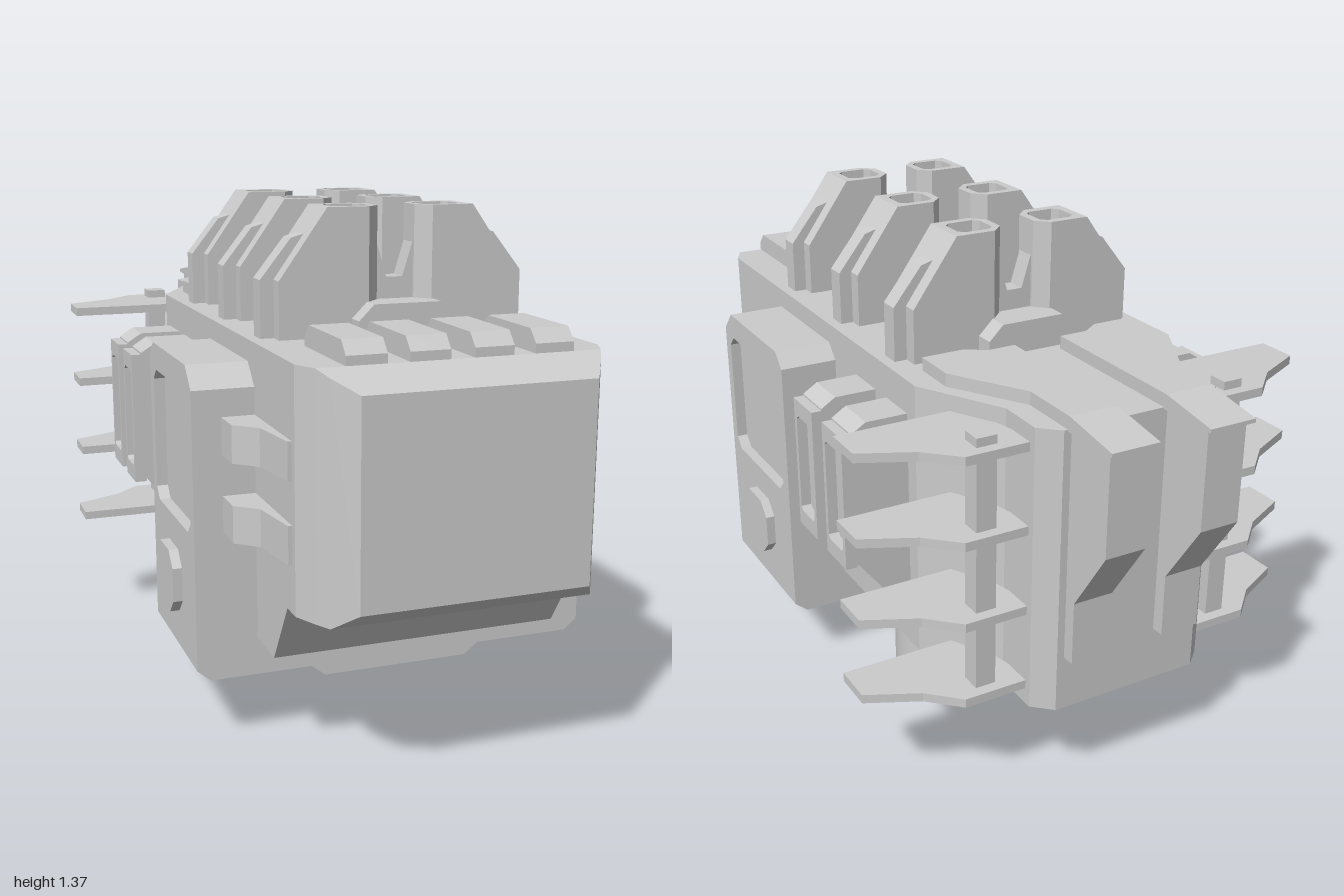
import * as THREE from 'three';

const flat = new THREE.MeshStandardMaterial({ color: 0xcccccc, flatShading: true });
const smooth = new THREE.MeshStandardMaterial({ color: 0xcccccc });

function toShape(pts, hole) {
  const s = new THREE.Shape(pts.map(p => new THREE.Vector2(...p)));
  if (hole) s.holes.push(new THREE.Path(hole.map(p => new THREE.Vector2(...p))));
  return s;
}
const prism = (pts, depth, hole) =>
  new THREE.ExtrudeGeometry(toShape(pts, hole), { depth, bevelEnabled: false });
// outlines in (x,y), (z,y) and (x,z), swept along the remaining axis
const alongZ = (pts, a, b, hole) => prism(pts, b - a, hole).translate(0, 0, a);
const alongX = (pts, a, b, hole) => prism(pts, b - a, hole).rotateY(-Math.PI / 2).translate(b, 0, 0);
const alongY = (pts, a, b, hole) => prism(pts, b - a, hole).rotateX(Math.PI / 2).translate(0, b, 0);
const box = (x0, x1, y0, y1, z0, z1) =>
  new THREE.BoxGeometry(x1 - x0, y1 - y0, z1 - z0).translate((x0 + x1) / 2, (y0 + y1) / 2, (z0 + z1) / 2);
// rectangle with cut corners
const cutRect = (a0, a1, b0, b1, c) => [[a0 + c, b0], [a1 - c, b0], [a1, b0 + c], [a1, b1 - c],
  [a1 - c, b1], [a0 + c, b1], [a0, b1 - c], [a0, b0 + c]];
const symmetric = pts => [...pts, ...pts.map(([x, y]) => [-x, y]).reverse()];

// mirror across x = 0, keeping faces outward
function mirrored(geo) {
  const g = geo.index ? geo.toNonIndexed() : geo.clone();
  g.scale(-1, 1, 1);
  for (const attr of Object.values(g.attributes)) {
    const n = attr.itemSize, a = attr.array;
    for (let i = 0; i < a.length; i += 3 * n) {
      for (let k = 0; k < n; k++) [a[i + n + k], a[i + 2 * n + k]] = [a[i + 2 * n + k], a[i + n + k]];
    }
  }
  return g;
}

// rectangular sections [z, half width, bottom, top], front to back
function loft(sections) {
  const pos = [], idx = [];
  for (const [z, w, b, t] of sections) pos.push(-w, b, z, w, b, z, w, t, z, -w, t, z);
  for (let s = 0; s < sections.length - 1; s++) {
    for (let i = 0; i < 4; i++) {
      const a = s * 4 + i, b = s * 4 + (i + 1) % 4;
      idx.push(a, a + 4, b, b, a + 4, b + 4);
    }
  }
  const e = pos.length / 3 - 4;
  idx.push(0, 1, 2, 0, 2, 3, e, e + 2, e + 1, e, e + 3, e + 2);
  const g = new THREE.BufferGeometry();
  g.setAttribute('position', new THREE.Float32BufferAttribute(pos, 3));
  g.setIndex(idx);
  const out = g.toNonIndexed();
  out.computeVertexNormals();
  return out;
}

export function createModel() {
  const model = new THREE.Group();
  model.name = 'model';
  const add = (name, geo, mat = flat) => {
    const m = new THREE.Mesh(geo, mat);
    m.name = name;
    model.add(m);
  };
  const pair = (name, geo, mat) => {
    add(name + 'Left', geo, mat);
    add(name + 'Right', mirrored(geo), mat);
  };

  // main hull with chamfered nose and tapered tail
  add('hull', loft([
    [1.0, 0.29, 0.5, 1.0], [0.93, 0.335, 0.45, 1.028], [0.89, 0.357, 0.45, 1.045], [0.83, 0.385, 0.45, 1.045],
    [0.77, 0.385, 0.45, 1.045], [0.66, 0.385, 0.28, 1.045], [-0.42, 0.385, 0.28, 1.045],
    [-0.65, 0.26, 0.28, 1.045], [-0.78, 0.26, 0.28, 1.045], [-0.825, 0.21, 0.28, 1.045],
  ]));

  // saddle wrapping under the hull, with side slabs
  add('saddleBase', alongZ(symmetric([[0.2, 0.15], [0.24, 0.18], [0.51, 0.18], [0.545, 0.21], [0.545, 0.3]]).reverse(), 0.07, 0.52));
  const slab = [[0.07, 0.29], [0.52, 0.29], [0.52, 0.935], [0.465, 0.99], [0.11, 0.99], [0.07, 0.95]];
  pair('sideSlab', alongX(slab, 0.37, 0.515));
  pair('sideSlabFrame', alongX(slab, 0.515, 0.545, cutRect(0.11, 0.485, 0.56, 0.92, 0.03)));
  pair('sideButton', alongX(cutRect(0.205, 0.38, 0.31, 0.48, 0.04), 0.54, 0.57));

  // small stepped vanes ahead of the slabs
  for (const y of [0.57, 0.77]) {
    pair('frontVane', alongY([[0.37, 0.5], [0.47, 0.5], [0.47, 0.61], [0.415, 0.66], [0.395, 0.81], [0.37, 0.81]], y, y + 0.095));
  }

  // upright ribs with a sunken window
  const rib = [[0.37, 0.36], [0.385, 0.37], [0.54, 0.57], [0.54, 0.93], [0.5, 0.955], [0.37, 0.955]];
  for (const z of [-0.13, -0.315]) {
    pair('sideRib', alongZ(rib, z - 0.06, z + 0.06));
    pair('sideRibFrame', alongX([[z - 0.06, 0.555], [z + 0.06, 0.555], [z + 0.06, 0.925], [z - 0.06, 0.925]],
      0.535, 0.568, cutRect(z - 0.045, z + 0.045, 0.6, 0.88, 0.01)));
  }

  // horizontal tail blades and the post that carries them
  const blade = [[0.3, -0.51], [0.645, -0.51], [0.645, -0.62], [0.51, -0.685], [0.43, -0.76], [0.24, -0.76]];
  for (const y of [0.335, 0.55, 0.77, 0.99]) pair('tailBlade', alongY(blade, y - 0.012, y + 0.012));
  pair('bladePost', box(0.33, 0.385, 0.3, 1.025, -0.73, -0.675));

  // raised spine along the roof
  add('spine', alongZ(symmetric([[0.13, 1.03], [0.13, 1.09], [0.09, 1.13]]), -0.345, 0.57));

  // three rows of twin towers
  for (const z of [0.45, 0.115, -0.22]) {
    const inner = [[0.05, z - 0.035], [0.085, z - 0.07], [0.195, z - 0.07], [0.195, z + 0.07], [0.085, z + 0.07], [0.05, z + 0.035]];
    pair('towerBase', alongY(inner, 1.03, 1.325));
    pair('towerRim', alongY(inner, 1.325, 1.365, cutRect(0.072, 0.172, z - 0.047, z + 0.047, 0.015)));
    for (const d of [-0.025, 0, 0.025]) pair('towerSlat', box(0.074, 0.17, 1.32, 1.34, z + d - 0.006, z + d + 0.006));
    pair('towerSlope', alongZ([[0.19, 1.03], [0.32, 1.03], [0.32, 1.19], [0.195, 1.365], [0.19, 1.365]], z - 0.07, z + 0.07));
    pair('towerRidge', alongZ([[0.2, 1.03], [0.355, 1.03], [0.355, 1.19], [0.275, 1.29], [0.24, 1.3], [0.2, 1.3]], z - 0.028, z + 0.028));
    add('towerLink', alongZ([[-0.06, 1.1], [0.06, 1.1], [0.06, 1.27], [0.048, 1.27], [0.022, 1.185],
      [-0.022, 1.185], [-0.048, 1.27], [-0.06, 1.27]], z - 0.028, z + 0.028));
  }

  // four bars on the nose roof
  for (const x of [0.08, 0.235]) {
    pair('noseBar', alongX([[0.61, 1.03], [0.89, 1.03], [0.89, 1.068], [0.86, 1.1], [0.64, 1.1], [0.61, 1.068]], x - 0.05, x + 0.05));
  }

  // roof plates reaching over the tail, drooping to a thin end
  const plate = alongY([[0.07, -1], [0.2, -1], [0.2, -0.83], [0.2, -0.66], [0.32, -0.46], [0.32, -0.335],
    [0.2, -0.335], [0.15, -0.37], [0.07, -0.37], [0.07, -0.83]], 1.04, 1.08);
  const p = plate.attributes.position;
  for (let i = 0; i < p.count; i++) {
    if (p.getZ(i) < -0.95) p.setY(i, p.getY(i) > 1.06 ? 1.055 : 1.045);
  }
  plate.computeVertexNormals();
  pair('roofPlate', plate);
  pair('tailStrut', alongX([[-0.8, 0.43], [-0.8, 1.045], [-0.98, 1.045], [-0.98, 0.78], [-0.86, 0.6], [-0.86, 0.43]], 0.08, 0.19));

  // round feet with a keel fin behind each
  const foot = new THREE.CylinderGeometry(0.135, 0.135, 0.24, 40).translate(0.18, 0.17, -0.155);
  const footRim = new THREE.CylinderGeometry(0.135, 0.115, 0.02, 40).translate(0.18, 0.04, -0.155);
  pair('foot', foot, smooth);
  pair('footRim', footRim, smooth);
  pair('footKeel', alongX([[-0.14, 0.3], [-0.14, 0.03], [-0.22, 0], [-0.33, 0], [-0.35, 0.025], [-0.455, 0.285]], 0.147, 0.213));

  return model;
}
